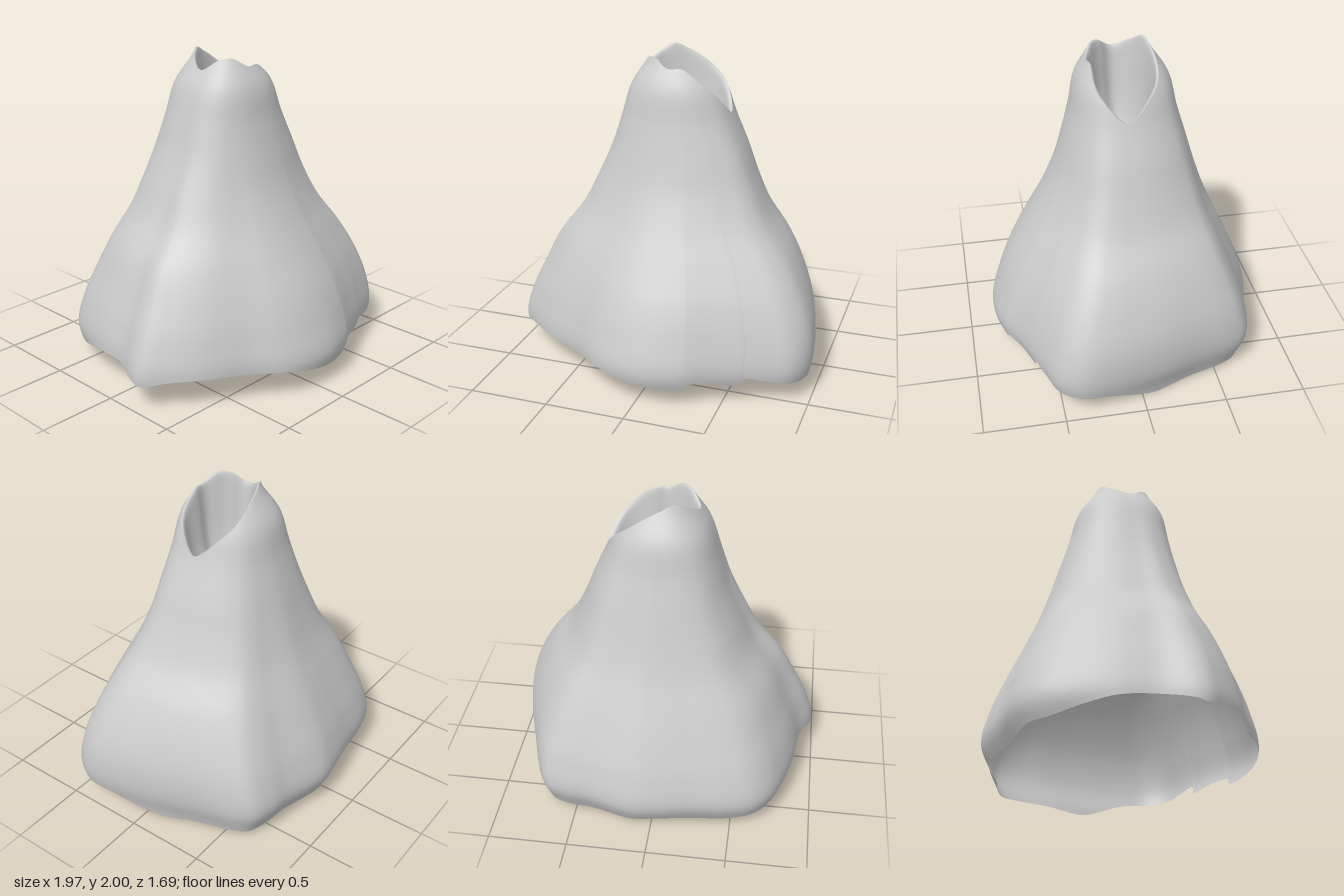
import * as THREE from 'three';

const COLUMNS = 144;
const material = new THREE.MeshStandardMaterial({ color: 0xcccccc, side: THREE.DoubleSide });

// Wavy hem with small steps at the front, running from +x round the front: x, height, z.
const hem = new THREE.CatmullRomCurve3([
  [0.97, 0.10, 0.22], [0.98, 0.12, 0.4], [0.9, 0.13, 0.53], [0.75, 0.16, 0.59], [0.63, 0.18, 0.63],
  [0.61, 0.13, 0.64], [0.45, 0.15, 0.7], [0.31, 0.15, 0.78], [0.29, 0.11, 0.79], [0.1, 0.12, 0.84],
  [-0.1, 0.15, 0.83], [-0.28, 0.18, 0.76], [-0.45, 0.19, 0.63], [-0.7, 0.2, 0.5], [-0.88, 0.19, 0.36],
  [-0.98, 0.16, 0.25], [-0.98, 0.18, 0.17], [-0.9, 0.21, 0], [-0.87, 0.2, -0.22], [-0.82, 0.15, -0.42],
  [-0.75, 0.1, -0.6], [-0.65, 0.09, -0.71], [-0.5, 0.07, -0.76], [-0.25, 0.07, -0.79], [-0.05, 0.08, -0.83],
  [0.12, 0.07, -0.85], [0.4, 0.05, -0.77], [0.55, 0.04, -0.75], [0.68, 0.03, -0.7], [0.74, 0.03, -0.6],
  [0.81, 0.02, -0.35], [0.9, 0.0, -0.07],
].map((p) => new THREE.Vector3(...p)), true);

// Half-extents at evenly spaced heights from 0 to 2: [-x, +x] and [back, front].
const spline = (pairs) => new THREE.SplineCurve(pairs.map((p) => new THREE.Vector2(...p)));
const widths = spline([[0.93, 0.93], [0.98, 0.98], [0.93, 0.97], [0.84, 0.9], [0.74, 0.79], [0.59, 0.64],
  [0.49, 0.54], [0.4, 0.46], [0.335, 0.37], [0.27, 0.29], [0.15, 0.16]]);
const depths = spline([[0.77, 0.79], [0.85, 0.85], [0.81, 0.8], [0.73, 0.72], [0.64, 0.61], [0.55, 0.5],
  [0.48, 0.41], [0.42, 0.35], [0.36, 0.3], [0.31, 0.26], [0.19, 0.16]]);

// Rim heights every 30 degrees from +x round the front; both ends meet in a notch.
const rim = spline([1.63, 1.77, 1.91, 1.92, 1.97, 1.96, 1.9, 1.95, 2.0, 1.97, 1.91, 1.78, 1.63].map((h) => [0, h]));

// Each column rises from the hem to the rim, its section easing into a rounded oval.
function makeColumn(i) {
  const base = hem.getPoint(i / COLUMNS);
  const nx = base.x / 0.98, nz = base.z / 0.85;
  const angle = Math.atan2(nz, nx);
  const c = Math.cos(angle), s = Math.sin(angle);
  const reach = (Math.abs(c) ** 2.4 + Math.abs(s) ** 2.4) ** (-1 / 2.4);
  const top = rim.getPoint((angle / (Math.PI * 2) + 1) % 1).y;
  return (v) => {
    const y = THREE.MathUtils.lerp(base.y, top, v);
    const t = THREE.MathUtils.clamp(y / 2, 0, 1);
    const w = widths.getPoint(t), d = depths.getPoint(t);
    const keep = Math.max(0, 1 - y / 1.9);
    const x = THREE.MathUtils.lerp(c * reach, nx, keep);
    const z = THREE.MathUtils.lerp(s * reach, nz, keep);
    return new THREE.Vector3(x * (x < 0 ? w.x : w.y), y, z * (z < 0 ? d.x : d.y));
  };
}

const columns = Array.from({ length: COLUMNS }, (_, i) => makeColumn(i));

// Skin a closed grid of points, rows by columns.
function skin(name, rows, pointAt) {
  const positions = [], index = [];
  for (let r = 0; r <= rows; r++) {
    for (const column of columns) positions.push(...pointAt(column, r / rows).toArray());
  }
  for (let r = 0; r < rows; r++) {
    for (let c = 0; c < COLUMNS; c++) {
      const next = (c + 1) % COLUMNS;
      const a = r * COLUMNS + c, b = r * COLUMNS + next;
      index.push(a, a + COLUMNS, b, b, a + COLUMNS, b + COLUMNS);
    }
  }
  const geometry = new THREE.BufferGeometry();
  geometry.setAttribute('position', new THREE.Float32BufferAttribute(positions, 3));
  geometry.setIndex(index);
  geometry.computeVertexNormals();
  const mesh = new THREE.Mesh(geometry, material);
  mesh.name = name;
  return mesh;
}

// Pocket section from rim to floor: [radius factor, share of the drop].
const pocketProfile = spline([[1, 0], [0.92, 0.03], [0.85, 0.25], [0.75, 0.55], [0.55, 0.83], [0.3, 0.96], [0, 1]]);
const pocketFloor = new THREE.Vector3(0.05, 1.3, -0.02);

export function createModel() {
  const group = new THREE.Group();
  group.name = 'flaredShell';

  // Outer body, open underneath
  group.add(skin('body', 56, (column, v) => column(v)));

  // Hollow set into the top
  group.add(skin('topPocket', 20, (column, v) => {
    const edge = column(1);
    const p = pocketProfile.getPoint(v);
    return new THREE.Vector3(
      THREE.MathUtils.lerp(pocketFloor.x, edge.x, p.x),
      THREE.MathUtils.lerp(edge.y, pocketFloor.y, p.y),
      THREE.MathUtils.lerp(pocketFloor.z, edge.z, p.x),
    );
  }));
  return group;
}
